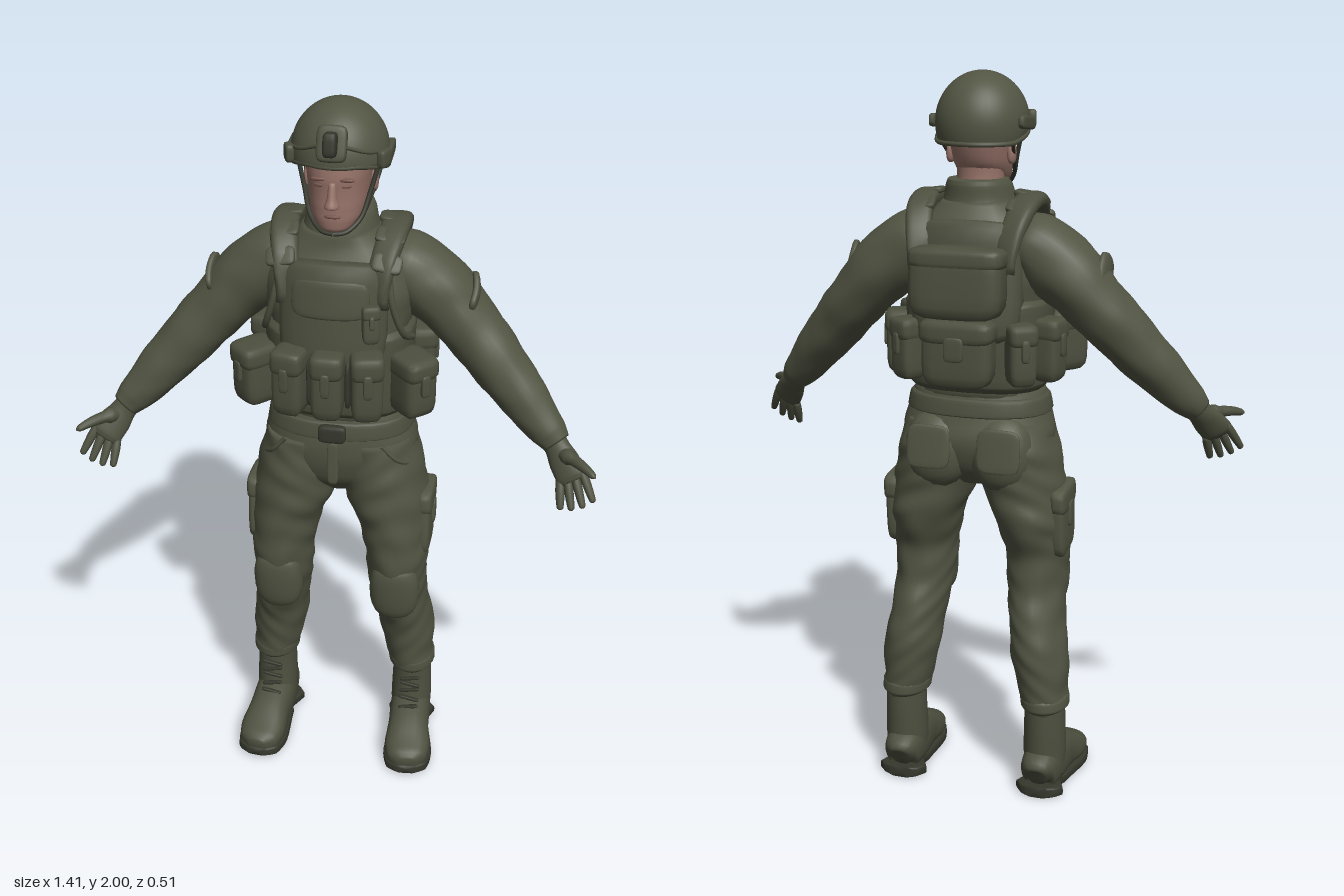
import * as THREE from 'three';
import { mergeVertices, mergeGeometries } from 'three/addons/utils/BufferGeometryUtils.js';

const V = (x, y, z) => new THREE.Vector3(x, y, z);
const mat = (name, color, side = THREE.FrontSide) => new THREE.MeshStandardMaterial({ name, color, side });

// Smooth skin over rows [x, y, z, halfWidth, halfDepth]; flat keeps the rings level.
function loft(rows, { flat = true, ref = V(0, 0, 1), p = 2, fold = 0, n = 24, steps = 4 } = {}) {
  const path = new THREE.CatmullRomCurve3(rows.map(r => V(r[0], r[1], r[2])));
  const size = new THREE.CatmullRomCurve3(rows.map(r => V(r[3], r[4], 0)));
  const count = (rows.length - 1) * steps, pos = [], idx = [];
  for (let i = 0; i <= count; i++) {
    const k = i / count, c = path.getPoint(k), s = size.getPoint(k);
    const t = flat ? V(0, 1, 0) : path.getTangent(k);
    const v = ref.clone().addScaledVector(t, -ref.dot(t)).normalize();
    const u = t.clone().cross(v);
    for (let j = 0; j < n; j++) {
      const th = j / n * Math.PI * 2, co = Math.cos(th), si = Math.sin(th);
      const crease = Math.sin(c.y * 62 + 2.2 * Math.sin(th * 2 + c.y * 9)) * Math.sin(th * 3 + c.y * 17);
      const f = 1 + fold * crease;
      const e = x => Math.sign(x) * Math.abs(x) ** (2 / p) * f;
      const q = c.clone().addScaledVector(u, e(co) * s.x).addScaledVector(v, e(si) * s.y);
      pos.push(q.x, q.y, q.z);
      if (i < count) {
        const a = i * n + j, b = i * n + (j + 1) % n;
        idx.push(a, a + n, b, b, a + n, b + n);
      }
    }
  }
  const last = count * n, c0 = pos.length / 3;
  pos.push(...rows[0].slice(0, 3), ...rows.at(-1).slice(0, 3));
  for (let j = 0; j < n; j++) {
    const m = (j + 1) % n;
    idx.push(c0, j, m, c0 + 1, last + m, last + j);
  }
  const g = new THREE.BufferGeometry();
  g.setAttribute('position', new THREE.Float32BufferAttribute(pos, 3));
  g.setIndex(idx);
  g.computeVertexNormals();
  return g;
}

// Padded box with rounded edges; bend curves it around the body.
function soft(w, h, d, { p = 5, bend = 0 } = {}) {
  let g = new THREE.BoxGeometry(2, 2, 2, 6, 6, 6);
  g.deleteAttribute('normal'); g.deleteAttribute('uv');
  g = mergeVertices(g);
  const a = g.attributes.position;
  for (let i = 0; i < a.count; i++) {
    const q = V(a.getX(i), a.getY(i), a.getZ(i));
    const l = (Math.abs(q.x) ** p + Math.abs(q.y) ** p + Math.abs(q.z) ** p) ** (1 / p);
    q.divideScalar(l).multiply(V(w / 2, h / 2, d / 2));
    a.setXYZ(i, q.x, q.y, q.z - bend * q.x * q.x);
  }
  g.computeVertexNormals();
  return g;
}

const put = (g, x, y, z, rx = 0, ry = 0, rz = 0) => g.rotateX(rx).rotateZ(rz).rotateY(ry).translate(x, y, z);

// Pouch with overlapping flap and closing tab, facing +z.
function pouch(w, h, d) {
  return mergeGeometries([
    soft(w, h, d),
    put(soft(w * 1.06, h * 0.36, d * 1.08), 0, h * 0.33, 0.002),
    put(soft(w * 0.28, h * 0.36, 0.014), 0, h * 0.1, d * 0.53),
  ]);
}

function mirror(g) {
  const m = g.clone().scale(-1, 1, 1), ix = m.index.array;
  for (let i = 0; i < ix.length; i += 3) [ix[i], ix[i + 1]] = [ix[i + 1], ix[i]];
  return m;
}

const tube = (pts, r) => new THREE.TubeGeometry(new THREE.CatmullRomCurve3(pts.map(q => V(...q))), 20, r, 8);

export function createModel() {
  const model = new THREE.Group();
  const cloth = mat('olive cloth', 0x525543), gear = mat('olive gear', 0x4d503f);
  const shell = mat('helmet olive', 0x525543, THREE.DoubleSide), dark = mat('dark webbing', 0x36382d);
  const skin = mat('skin', 0x98746a), shade = mat('brow and lips', 0x74544b);
  const add = (name, g, m) => {
    const mesh = new THREE.Mesh(g, m);
    mesh.name = name;
    model.add(mesh);
  };
  const pair = (name, g, m) => { add(name + 'Left', g, m); add(name + 'Right', mirror(g), m); };

  // Jacket, collar and pelvis
  add('jacket', loft([[0, 1.14, 0, .17, .122], [0, 1.25, 0, .175, .135], [0, 1.4, 0, .185, .148], [0, 1.5, -.005, .2, .152],
    [0, 1.58, -.012, .19, .138], [0, 1.635, -.012, .135, .115], [0, 1.67, -.005, .095, .1]], { p: 2.4, fold: .012 }), cloth);
  add('collar', loft([[0, 1.63, -.01, .115, .11], [0, 1.67, -.005, .097, .1], [0, 1.71, -.012, .088, .092], [0, 1.725, -.02, .08, .08]]), cloth);
  add('pelvis', loft([[0, .9, -.01, .05, .07], [0, .96, -.01, .17, .125], [0, 1.04, -.008, .212, .145],
    [0, 1.11, 0, .197, .135], [0, 1.17, 0, .178, .12]], { p: 2.3, fold: .008 }), cloth);
  pair('seat', put(soft(.18, .22, .15, { p: 2.2 }), .092, 1.0, -.093), cloth);
  add('belt', loft([[0, 1.1, 0, .196, .136], [0, 1.105, 0, .201, .142], [0, 1.145, 0, .193, .136], [0, 1.15, 0, .186, .13]], { p: 2.3 }), gear);
  add('buckle', put(soft(.075, .05, .025), 0, 1.125, .145), dark);
  add('fly', put(soft(.03, .13, .014), 0, 1.03, .137), cloth);

  // Trouser legs with pads and pockets
  pair('trouserLeg', loft([[.208, .245, -.052, .052, .07], [.207, .27, -.05, .066, .082], [.2, .31, -.047, .069, .086],
    [.19, .4, -.045, .08, .097], [.176, .5, -.024, .077, .109], [.165, .6, .01, .082, .113], [.163, .7, .018, .088, .117],
    [.15, .8, 0, .1, .137], [.126, .9, 0, .116, .14], [.112, 1.0, -.008, .112, .145], [.1, 1.08, 0, .1, .13]], { fold: .03, steps: 7, n: 32 }), cloth);
  pair('cuff', loft([[.207, .25, -.05, .055, .073], [.207, .262, -.05, .068, .084], [.205, .285, -.049, .069, .085], [.204, .3, -.048, .06, .078]]), cloth);
  pair('kneePad', put(soft(.14, .19, .07, { p: 2.8, bend: 2.5 }), .167, .6, .098, .12), cloth);
  pair('cargoPocket', put(pouch(.14, .2, .042), .238, .8, -.005, 0, Math.PI / 2, -.08), cloth);
  pair('hipPocket', tube([[.13, 1.09, .127], [.17, 1.04, .11], [.207, 1.0, .05]], .006), cloth);
  pair('backPocket', put(soft(.12, .12, .014, { bend: 1 }), .098, 1.02, -.163, -.1, Math.PI), cloth);

  // Boots
  pair('bootShaft', loft([[.208, .05, -.05, .056, .07], [.208, .12, -.05, .06, .07], [.208, .2, -.055, .058, .068], [.208, .27, -.055, .056, .068]]), gear);
  pair('bootFoot', loft([[.205, .06, -.127, .025, .035], [.205, .07, -.112, .05, .058], [.209, .078, -.03, .06, .072], [.214, .07, .05, .06, .06],
    [.22, .052, .12, .067, .045], [.224, .043, .165, .057, .035], [.227, .04, .19, .025, .022]], { flat: false, ref: V(0, 1, 0), p: 2.5 }), gear);
  pair('bootSole', loft([[.205, .016, -.131, .03, .016], [.205, .016, -.115, .056, .016], [.21, .016, -.02, .056, .016], [.22, .016, .11, .072, .016],
    [.225, .018, .17, .06, .016], [.227, .02, .193, .028, .012]], { flat: false, ref: V(0, 1, 0), p: 5 }), dark);
  for (let i = 0; i < 6; i++) {
    pair('lace', put(soft(.06, .009, .012), .21, .112 + i * .022, .055 - Math.min(i, 3) * .013, 0, 0, i % 2 ? .2 : -.2), dark);
  }

  // Sleeves, shoulder patches and gloves
  pair('sleeve', loft([[.1, 1.57, -.03, .06, .07], [.16, 1.555, -.032, .088, .1], [.23, 1.505, -.034, .096, .1], [.31, 1.425, -.03, .084, .092], [.4, 1.325, -.003, .077, .079],
    [.49, 1.225, .03, .066, .064], [.565, 1.143, .063, .049, .046], [.588, 1.118, .076, .038, .034]], { flat: false, fold: .03, steps: 7, n: 28 }), cloth);
  pair('sleevePocket', put(soft(.11, .12, .02, { bend: 3 }), .352, 1.476, -.025, 0, Math.PI / 2, .7), cloth);
  pair('palm', loft([[.57, 1.135, .067, .036, .03], [.59, 1.11, .08, .034, .026], [.612, 1.08, .1, .042, .022],
    [.634, 1.05, .12, .044, .019], [.642, 1.038, .128, .034, .012]], { flat: false }), gear);
  for (let i = 0; i < 4; i++) {
    const s = -.033 + i * .022, len = [.88, 1, 1.02, .95][i];
    const a = V(.632 + .8 * s, 1.052 + .6 * s, .118), b = V(.657 + 1.3 * s, .972 + .6 * s, .16);
    const at = (k, r) => [...a.clone().lerp(b, k * len).toArray(), r, r];
    pair('finger', loft([at(0, .011), at(.35, .0125), at(.7, .011), at(.95, .0085), at(1, .003)], { flat: false, n: 10, steps: 3 }), gear);
  }
  pair('thumb', loft([[.6, 1.1, .09, .016, .016], [.635, 1.102, .125, .016, .016], [.668, 1.098, .158, .013, .013],
    [.69, 1.091, .18, .009, .009], [.696, 1.089, .186, .003, .003]], { flat: false, ref: V(0, 1, 0), n: 12 }), gear);

  // Plate carrier
  add('cummerbund', loft([[0, 1.17, 0, .18, .135], [0, 1.19, 0, .193, .152], [0, 1.3, 0, .197, .16], [0, 1.4, 0, .198, .162], [0, 1.42, 0, .18, .145]], { p: 2.6 }), gear);
  add('frontPlate', put(soft(.28, .28, .08, { bend: 2 }), 0, 1.475, .148, -.12), gear);
  add('chestPanel', put(soft(.2, .1, .02, { bend: 2 }), 0, 1.53, .178, -.16), gear);
  add('backPlate', put(soft(.3, .32, .08, { bend: 1.5 }), 0, 1.47, -.142, -.1, Math.PI), gear);
  add('chestRadio', put(pouch(.045, .1, .035), .105, 1.47, .172, -.1, .3), gear);
  pair('shoulderStrap', loft([[.115, 1.5, .13, .032, .014], [.122, 1.6, .118, .034, .017], [.137, 1.655, .06, .036, .021], [.142, 1.672, -.01, .037, .022],
    [.138, 1.65, -.09, .036, .02], [.122, 1.58, -.148, .034, .016], [.115, 1.5, -.165, .03, .012]], { flat: false, ref: V(0, .7, .01), p: 3, fold: .03 }), gear);
  for (const [y, z, rx] of [[1.615, .118, -.7], [1.665, .06, -1.1], [1.685, -.01, -1.57], [1.66, -.085, -2.1]]) {
    pair('strapPad', put(soft(.076, .05, .018), .136, y, z, rx, 0, -.15), gear);
  }
  pair('sideStrap', tube([[.14, 1.58, .115], [.155, 1.5, .13], [.18, 1.42, .11], [.195, 1.38, .04]], .009), gear);

  // Pouches around the waist
  for (const x of [-.1, 0, .1]) add('magazinePouch', put(pouch(.083, .185, .08), x, 1.305, .205 - Math.abs(x) * .1, 0, x * 2.2), gear);
  for (const x of [-.05, .05]) add('pouchDivider', put(soft(.014, .13, .05), x, 1.3, .18), dark);
  pair('frontSidePouch', put(pouch(.095, .17, .115), .205, 1.28, .11, 0, .75), gear);
  pair('rearSidePouch', put(pouch(.085, .17, .075), .208, 1.285, -.055, 0, 1.8), gear);
  pair('rearCornerPouch', put(pouch(.075, .165, .075), .155, 1.285, -.145, 0, 2.55), gear);
  add('rearPouch', put(pouch(.19, .18, .085), 0, 1.29, -.193, 0, Math.PI), gear);
  add('backPack', put(soft(.25, .19, .11), 0, 1.477, -.198, -.05, Math.PI), gear);
  add('backPackFlap', put(soft(.256, .06, .112), 0, 1.54, -.195, -.05, Math.PI), gear);

  // Neck, head and face
  add('neck', loft([[0, 1.64, -.012, .07, .07], [0, 1.72, 0, .062, .064], [0, 1.8, 0, .065, .07]]), skin);
  add('head', loft([[0, 1.688, .09, .02, .025], [0, 1.697, .082, .042, .046], [0, 1.725, .055, .064, .078], [0, 1.76, .032, .074, .102],
    [0, 1.8, .022, .079, .112], [0, 1.835, .018, .083, .118], [0, 1.88, .015, .085, .115], [0, 1.93, .01, .06, .08]], { p: 2.2 }), skin);
  add('nose', loft([[0, 1.757, .133, .012, .008], [0, 1.765, .138, .019, .022], [0, 1.785, .135, .013, .018], [0, 1.825, .13, .009, .01]], { n: 14 }), skin);
  add('mouth', put(soft(.042, .009, .01, { p: 2.5, bend: 5 }), 0, 1.736, .133), shade);
  pair('brow', put(soft(.042, .01, .012, { p: 2.5, bend: 4 }), .034, 1.832, .129), shade);
  pair('eye', put(soft(.026, .009, .008, { p: 2.3 }), .034, 1.815, .126, 0, .25), shade);
  pair('ear', put(soft(.022, .06, .04, { p: 2.5 }), .084, 1.79, .005), skin);

  // Helmet, its rim lower at the back than at the brow
  const drop = z => THREE.MathUtils.clamp(.62 - z * .75, 0, 1);
  const dome = new THREE.SphereGeometry(1, 40, 24, 0, Math.PI * 2, 0, Math.PI * .6);
  const dp = dome.attributes.position;
  for (let i = 0; i < dp.count; i++) {
    const y = dp.getY(i), z = dp.getZ(i);
    dp.setXYZ(i, dp.getX(i) * .124, 1.866 + (y < 0 ? y * drop(z) * 1.15 : y) * .134, .016 + z * .131);
  }
  dome.computeVertexNormals();
  add('helmetShell', dome, shell);
  const rim = [];
  for (let i = 0; i < 24; i++) {
    const a = i / 24 * Math.PI * 2, z = Math.cos(a) * .951;
    rim.push(V(Math.sin(a) * .119, 1.866 - .0476 * drop(z), .016 + z * .132));
  }
  add('helmetRim', new THREE.TubeGeometry(new THREE.CatmullRomCurve3(rim, true), 60, .0065, 8, true), gear);
  pair('helmetRail', put(soft(.02, .035, .12), .122, 1.868, .015, .1), gear);
  pair('railClip', put(soft(.022, .045, .04), .118, 1.875, .075, 0, -.4), gear);
  add('mountPlate', put(soft(.075, .09, .03), 0, 1.925, .135, -.35), gear);
  add('mountArm', put(soft(.034, .06, .045), 0, 1.93, .156, -.2), dark);
  pair('mountStrap', tube([[.035, 1.92, .142], [.085, 1.9, .11], [.123, 1.885, .04]], .005), gear);

  // Chin strap
  pair('chinStrapFront', tube([[.1, 1.845, .045], [.083, 1.78, .06], [.064, 1.72, .087], [.03, 1.69, .115], [0, 1.686, .121]], .006), dark);
  pair('chinStrapBack', tube([[.1, 1.83, -.045], [.088, 1.78, .01], [.073, 1.735, .07]], .005), dark);
  return model;
}
